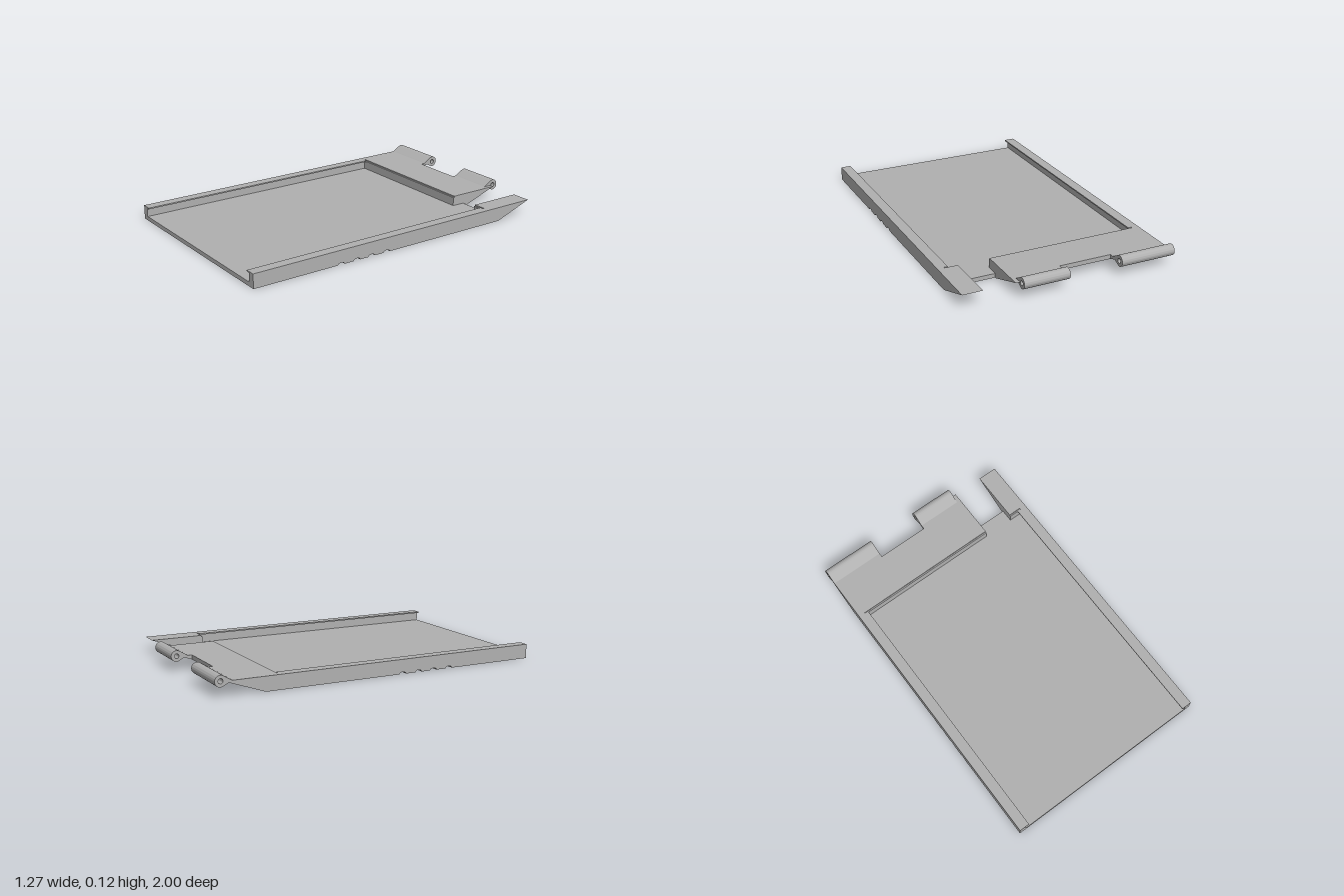
import * as THREE from 'three';
import { toCreasedNormals } from 'three/addons/utils/BufferGeometryUtils.js';

const TOP = 0.085, FLOOR = 0.025, LIP = 0.077, WALL = 0.62;
const RAMP = 0.71, TIP = 0.95; // underside slopes up between these
const GROOVES = [0.445, 0.34, 0.24, 0.135];

// Side profiles use u = -z, so the front edge is u = -1.
function extrudeX(shape, x0, x1) {
  const g = new THREE.ExtrudeGeometry(shape, { depth: x1 - x0, bevelEnabled: false, curveSegments: 24 });
  g.rotateY(Math.PI / 2);
  g.translate(x0, 0, 0);
  return toCreasedNormals(g, 0.5);
}

// Lengthwise section: grooved underside, back ramp, then the chosen upper side
function section(end, kind) {
  const s = new THREE.Shape();
  s.moveTo(-1, 0);
  for (const z of GROOVES) {
    s.lineTo(-z - 0.022, 0);
    s.absellipse(-z, 0, 0.022, 0.012, Math.PI, 0, true);
  }
  if (kind === 'floor') {
    s.lineTo(end, 0);
    s.lineTo(end, FLOOR);
  } else {
    s.lineTo(RAMP, 0);
    if (end < TIP) s.lineTo(end, TOP * (end - RAMP) / (TIP - RAMP));
    s.lineTo(end, TOP);
    if (kind === 'tray') {
      s.lineTo(WALL + 0.008, TOP);
      s.lineTo(WALL + 0.008, LIP);
      s.lineTo(WALL, LIP);
      s.lineTo(WALL, FLOOR);
    }
  }
  s.lineTo(-1, kind === 'rail' ? TOP : FLOOR);
  s.closePath();
  return s;
}

// Teardrop hinge barrel with a pin hole
function knuckle() {
  const s = new THREE.Shape();
  s.moveTo(0.89, 0.066);
  s.absarc(0.967, 0.087, 0.033, -1.744, 2.115, false);
  s.lineTo(0.9, TOP);
  s.closePath();
  const hole = new THREE.Path();
  hole.absarc(0.967, 0.087, 0.014, 0, Math.PI * 2, true);
  s.holes.push(hole);
  return s;
}

export function createModel() {
  const model = new THREE.Group();
  model.name = 'slidingTray';
  const grey = new THREE.MeshStandardMaterial({ color: 0xb0b0b0 });
  grey.name = 'plainGrey';

  const add = (name, geometry) => {
    const m = new THREE.Mesh(geometry, grey);
    m.name = name;
    model.add(m);
    return m;
  };

  // Body strips from right to left: name, x range, back end, kind
  const strips = [
    ['rightRail', -0.633, -0.592, TIP, 'rail'],
    ['trayRight', -0.592, -0.295, TIP, 'tray'],
    ['trayMiddle', -0.295, 0.025, 0.875, 'tray'],
    ['trayLeft', 0.025, 0.325, TIP, 'tray'],
    ['notchFloor', 0.325, 0.514, 0.7, 'floor'],
    ['trayEdge', 0.514, 0.592, TIP, 'tray'],
    ['leftRail', 0.592, 0.633, TIP, 'rail'],
  ];
  for (const [name, x0, x1, end, kind] of strips) add(name, extrudeX(section(end, kind), x0, x1));

  // Overhanging lips along both rails
  for (const side of [-1, 1]) {
    const lip = add(side < 0 ? 'rightLip' : 'leftLip',
      new THREE.BoxGeometry(0.022, TOP - LIP, 1 + WALL));
    lip.position.set(side * 0.581, (TOP + LIP) / 2, (1 - WALL) / 2);
  }

  // Hinge barrels on the back edge
  add('rightHinge', extrudeX(knuckle(), -0.633, -0.295));
  add('leftHinge', extrudeX(knuckle(), 0.025, 0.3));

  return model;
}
